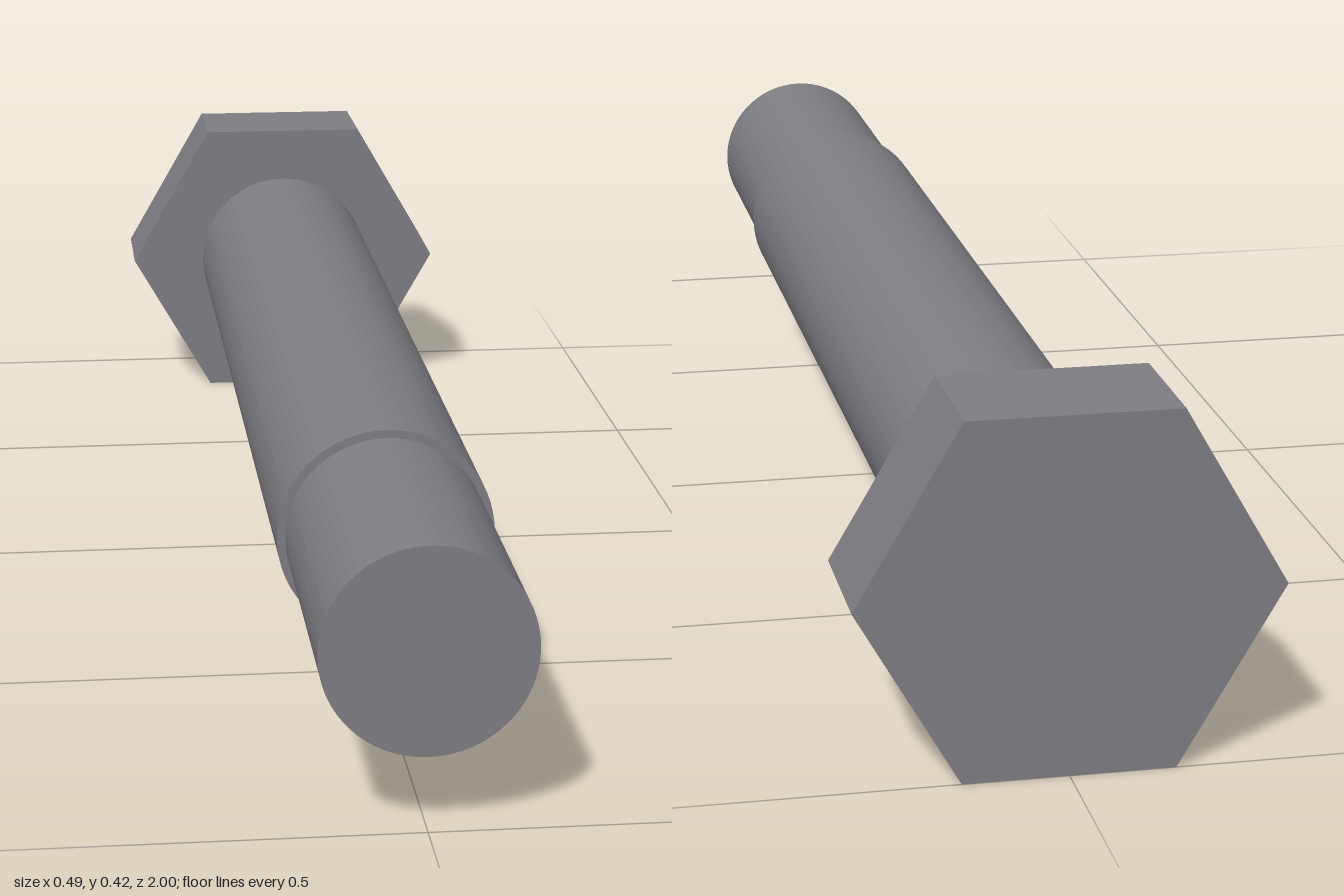
import * as THREE from 'three';

export function createModel() {
  const group = new THREE.Group();
  const steel = new THREE.MeshStandardMaterial({ color: 0x7f7e83, flatShading: true });
  steel.name = 'steel grey';

  const apothem = 0.2122;
  const headRadius = apothem / Math.cos(Math.PI / 6);

  // Prism lying along z from back to front, centred on the bolt axis
  function prism(name, radius, back, front, sides, start = 0) {
    const geometry = new THREE.CylinderGeometry(radius, radius, front - back, sides, 1, false, start);
    geometry.rotateX(Math.PI / 2);
    const mesh = new THREE.Mesh(geometry, steel);
    mesh.name = name;
    mesh.position.set(0, apothem, (back + front) / 2);
    group.add(mesh);
  }

  // Hexagonal head with flats at top and bottom
  prism('hexHead', headRadius, -1, -0.84, 6, Math.PI / 2);
  // Full-width shank
  prism('shank', 0.1325, -0.84, 0.6, 64);
  // Slightly narrower end section
  prism('tip', 0.1225, 0.6, 1, 64);

  return group;
}
